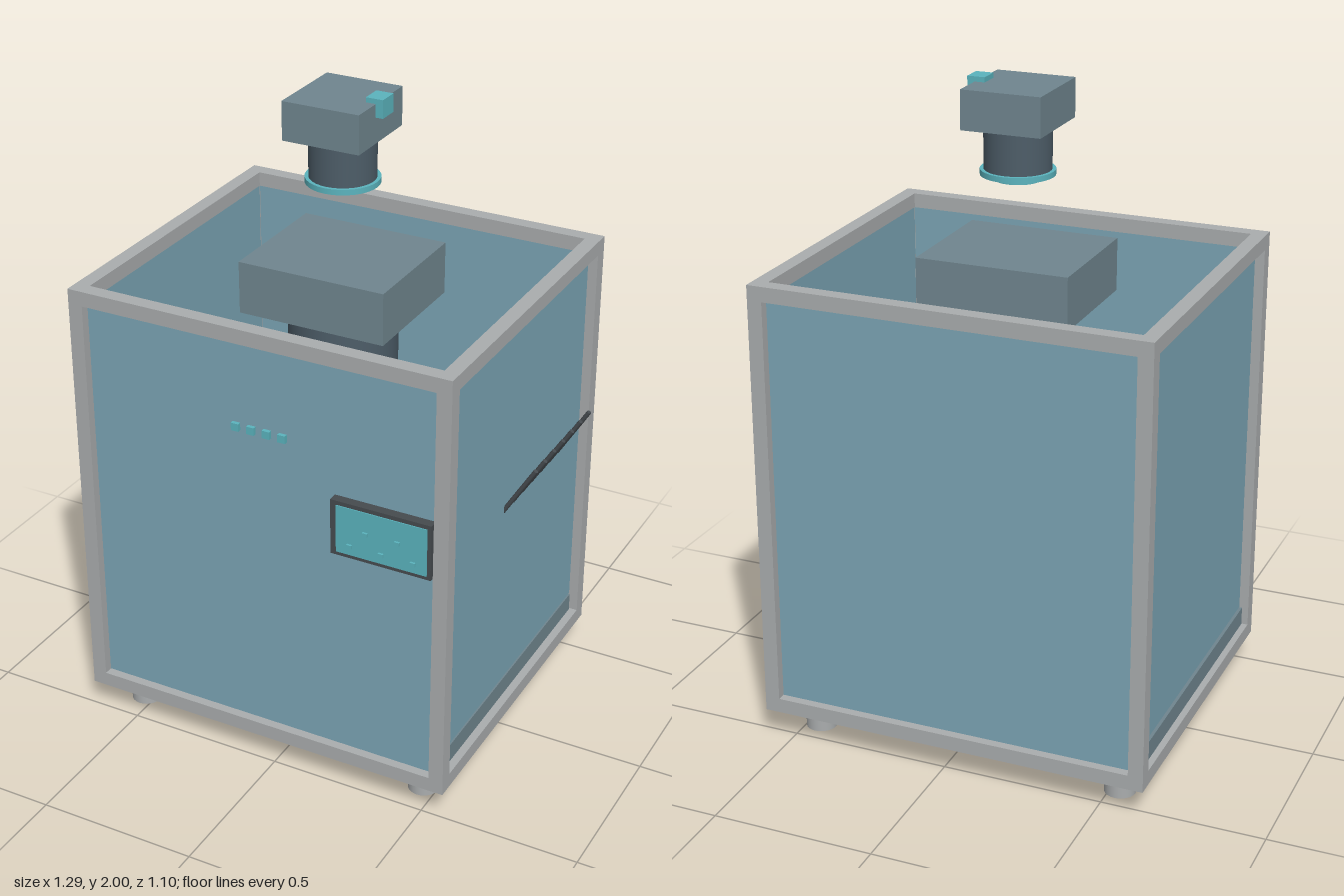
import * as THREE from 'three';

const mat = (name, color) => {
  const m = new THREE.MeshStandardMaterial({ color });
  m.name = name;
  return m;
};

export function createModel() {
  const root = new THREE.Group();
  root.name = 'cabinetMachine';
  const frameGrey = mat('frameGrey', 0xaaadae);
  const panelBlue = mat('panelBlue', 0x7ba5b5);
  const steel = mat('steelBlueGrey', 0x70868f);
  const dark = mat('darkSlate', 0x4d5d68);
  const teal = mat('teal', 0x5bb4be);
  const charcoal = mat('charcoal', 0x464b4f);

  const add = (name, geo, m, x = 0, y = 0, z = 0) => {
    const mesh = new THREE.Mesh(geo, m);
    mesh.name = name;
    mesh.position.set(x, y, z);
    root.add(mesh);
    return mesh;
  };
  // Box given by its limits on each axis
  const box = (name, m, x0, x1, y0, y1, z0, z1) =>
    add(name, new THREE.BoxGeometry(x1 - x0, y1 - y0, z1 - z0), m, (x0 + x1) / 2, (y0 + y1) / 2, (z0 + z1) / 2);
  // Upright cylinder from y0 to y1
  const cyl = (name, m, r, y0, y1, x, z, seg = 32) =>
    add(name, new THREE.CylinderGeometry(r, r, y1 - y0, seg), m, x, (y0 + y1) / 2, z);

  const X0 = -0.645, X1 = 0.575, Y0 = 0.095, Y1 = 1.465, Z0 = -0.55, Z1 = 0.515, T = 0.046;
  const cx = -0.036, cz = -0.02;

  // Frame: corner posts and rails
  for (const x of [X0, X1 - T]) {
    for (const z of [Z0, Z1 - T]) box('framePost', frameGrey, x, x + T, Y0, Y1, z, z + T);
    for (const y of [Y0, Y1 - T]) box('frameSideRail', frameGrey, x, x + T, y, y + T, Z0 + T, Z1 - T);
  }
  for (const z of [Z0, Z1 - T])
    for (const y of [Y0, Y1 - T]) box('frameCrossRail', frameGrey, X0 + T, X1 - T, y, y + T, z, z + T);

  // Base and feet
  box('base', steel, -0.625, 0.55, 0.06, 0.2, -0.497, 0.466);
  for (const x of [-0.53, 0.456])
    for (const z of [0.392, -0.416]) cyl('foot', frameGrey, 0.048, 0, 0.06, x, z, 24);

  // Wall panels, set back inside the frame
  box('frontPanel', panelBlue, X0 + T, X1 - T, Y0 + T, Y1 - T, 0.47, 0.487);
  box('backPanel', panelBlue, X0 + T, X1 - T, Y0 + T, Y1 - T, -0.522, -0.506);
  box('leftPanel', panelBlue, 0.53, 0.545, 0.2, Y1 - T, Z0 + T, Z1 - T);
  box('rightPanel', panelBlue, -0.615, -0.6, 0.2, Y1 - T, Z0 + T, Z1 - T);

  // Inner floor with a row of studs along the front
  box('innerFloor', dark, -0.57, 0.5, 0.2, 0.225, -0.456, 0.42);
  for (let i = 0; i < 11; i++)
    cyl('floorStud', i % 3 ? teal : frameGrey, 0.013, 0.225, 0.24, -0.53 + i * 0.1, 0.408, 12);

  // Drum with rim and bolt circle
  cyl('drumFoot', dark, 0.31, 0.225, 0.26, cx, cz, 48);
  cyl('drum', frameGrey, 0.27, 0.26, 0.42, cx, cz, 48);
  cyl('drumLid', panelBlue, 0.253, 0.42, 0.428, cx, cz, 48);
  for (let i = 0; i < 14; i++) {
    const a = (i / 14) * Math.PI * 2;
    cyl('drumBolt', teal, 0.013, 0.428, 0.438, cx + 0.245 * Math.cos(a), cz + 0.24 * Math.sin(a), 12);
  }

  // Central column and drive housing
  cyl('column', dark, 0.165, 0.428, 1.332, cx, cz, 40);
  box('driveHousing', steel, -0.272, 0.2, 1.332, 1.495, -0.222, 0.183);

  // Raised head with lens barrel
  box('head', steel, -0.159, 0.086, 1.867, 1.985, -0.153, 0.115);
  cyl('barrel', dark, 0.1, 1.737, 1.867, cx, cz);
  cyl('barrelRing', teal, 0.111, 1.72, 1.737, cx, cz);
  cyl('barrelTip', teal, 0.072, 1.705, 1.72, cx, cz);
  box('headTab', teal, 0.055, 0.109, 1.945, 2.0, -0.05, 0.014);

  // Front display with border and small keys
  box('displayBorder', charcoal, 0.207, 0.523, 0.826, 1.003, 0.487, 0.516);
  box('displayScreen', teal, 0.226, 0.511, 0.838, 0.99, 0.514, 0.519);
  for (let i = 0; i < 5; i++)
    box('displayKey', teal, 0.262 + i * 0.05, 0.278 + i * 0.05, (i % 2 ? 0.921 : 0.868) - 0.006, (i % 2 ? 0.921 : 0.868) + 0.006, 0.518, 0.526);

  // Row of front buttons
  for (let i = 0; i < 4; i++) {
    const x = -0.081 + i * 0.05;
    box('frontButton', teal, x - 0.012, x + 0.012, 1.161, 1.185, 0.534, 0.546);
  }

  // Slanted rods through the left wall
  for (let i = 0; i < 7; i++) {
    const rod = add('ventRod', new THREE.CylinderGeometry(0.007, 0.007, 0.255, 12), charcoal, 0.572, 0.868, 0.063 - i * 0.0675);
    rod.rotation.z = -Math.atan2(0.13, 0.215);
  }

  return root;
}
